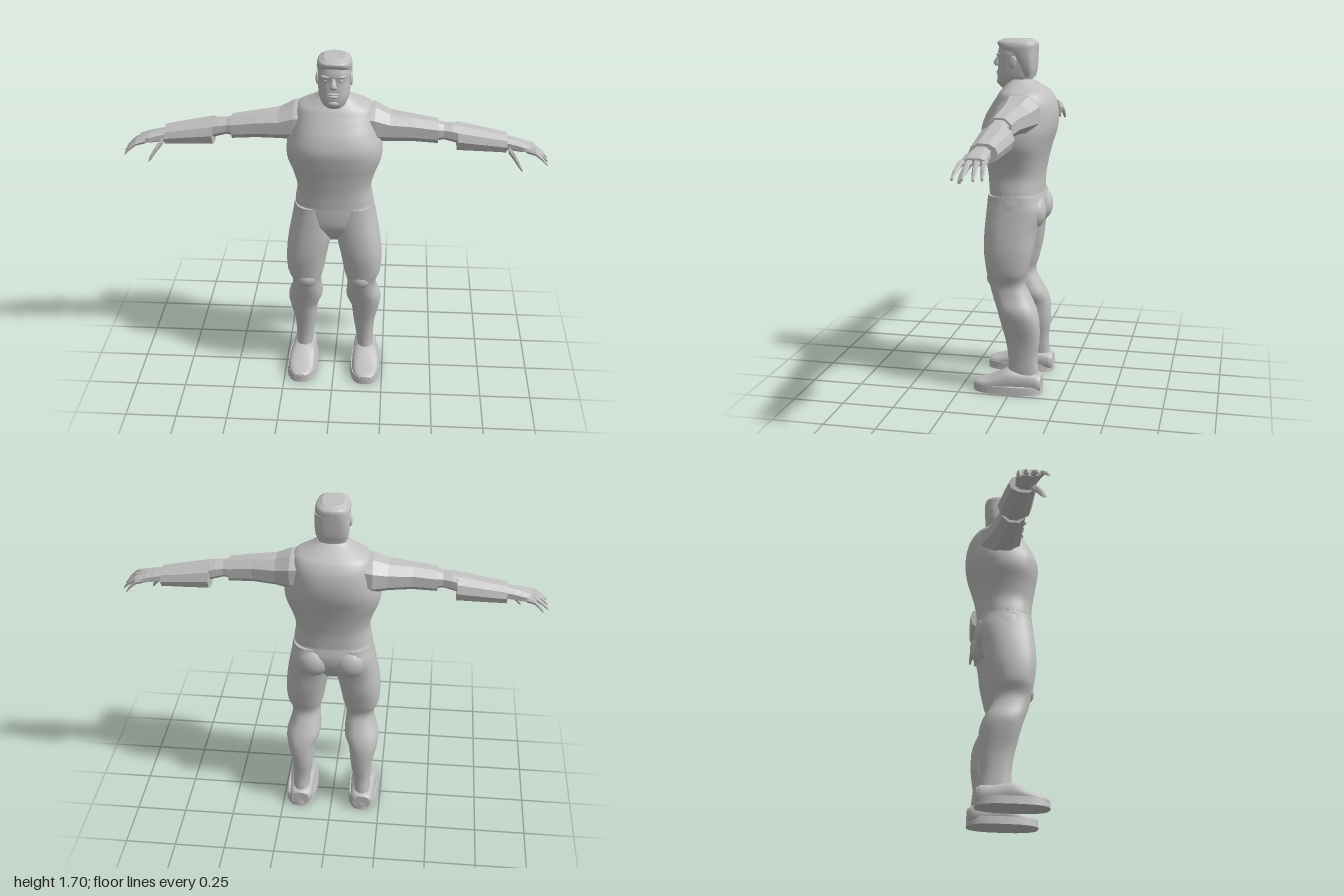
import * as THREE from 'three';

const grey = new THREE.MeshStandardMaterial({ color: 0xc0c0c0 });
grey.name = 'plain grey';

// Catmull-Rom refinement of a list of cross-sections
function refine(rows, k) {
  const out = [];
  for (let i = 0; i < rows.length - 1; i++) {
    const p = rows[Math.max(i - 1, 0)], q = rows[i], r = rows[i + 1], s = rows[Math.min(i + 2, rows.length - 1)];
    for (let j = 0; j < k; j++) {
      const t = j / k;
      out.push(q.map((v, c) => {
        if (c === 0) return v + (r[c] - v) * t;
        const square = 2 * p[c] - 5 * v + 4 * r[c] - s[c];
        const cube = 3 * v - p[c] - 3 * r[c] + s[c];
        return 0.5 * (2 * v + (r[c] - p[c]) * t + square * t * t + cube * t * t * t);
      }));
    }
  }
  out.push(rows[rows.length - 1]);
  return out;
}

// Skin over rows [t, aMin, aMax, bMin, bMax]; t runs along the axis, the rest bound
// a superellipse: (x, z) for axis y, (y, z) for axis x, (x, y) for axis z.
function loft(rows, { axis = 'y', n = 24, p = 2.4, steps = 4, flat = false, side = 1, turn = 0 } = {}) {
  const rings = steps > 1 ? refine(rows, steps) : rows;
  const pos = [], idx = [];
  const put = (t, a, b) => {
    const v = axis === 'y' ? [a, t, b] : axis === 'x' ? [t, a, b] : [a, b, t];
    pos.push(v[0] * side, v[1], v[2]);
  };
  const ring = ([t, a0, a1, b0, b1]) => {
    for (let i = 0; i < n; i++) {
      const w = (i + turn) / n * Math.PI * 2, c = Math.cos(w), s = Math.sin(w);
      put(t, (a0 + a1) / 2 + (a1 - a0) / 2 * Math.sign(c) * Math.abs(c) ** (2 / p),
        (b0 + b1) / 2 + (b1 - b0) / 2 * Math.sign(s) * Math.abs(s) ** (2 / p));
    }
  };
  rings.forEach(ring);
  for (let r = 0; r < rings.length - 1; r++) for (let i = 0; i < n; i++) {
    const a = r * n + i, b = r * n + (i + 1) % n;
    idx.push(a, b, b + n, a, b + n, a + n);
  }
  // end caps with their own crisp rims
  [rings[0], rings[rings.length - 1]].forEach((row, e) => {
    const base = pos.length / 3;
    ring(row);
    put(row[0], (row[1] + row[2]) / 2, (row[3] + row[4]) / 2);
    for (let i = 0; i < n; i++) {
      const a = base + i, b = base + (i + 1) % n;
      idx.push(base + n, ...(e ? [a, b] : [b, a]));
    }
  });
  let g = new THREE.BufferGeometry();
  g.setAttribute('position', new THREE.Float32BufferAttribute(pos, 3));
  // turn the skin outward if its signed volume is negative
  const A = new THREE.Vector3(), B = new THREE.Vector3(), C = new THREE.Vector3(), P = g.attributes.position;
  let vol = 0;
  for (let i = 0; i < idx.length; i += 3) {
    A.fromBufferAttribute(P, idx[i]);
    B.fromBufferAttribute(P, idx[i + 1]);
    C.fromBufferAttribute(P, idx[i + 2]);
    vol += A.dot(B.cross(C));
  }
  g.setIndex(vol < 0 ? idx.reverse() : idx);
  if (flat) g = g.toNonIndexed();
  g.computeVertexNormals();
  return g;
}

export function createModel() {
  const model = new THREE.Group();
  model.name = 'figure';
  const add = (name, geometry, parent = model) => {
    const m = new THREE.Mesh(geometry, grey);
    m.name = name;
    parent.add(m);
    return m;
  };
  const ball = (name, parent, x, y, z, sx, sy, sz) => {
    const m = add(name, new THREE.SphereGeometry(1, 16, 12), parent);
    m.position.set(x, y, z);
    m.scale.set(sx, sy, sz);
    return m;
  };

  // Torso and hips
  add('torso', loft([
    [0.98, -0.188, 0.188, -0.13, 0.133], [1.06, -0.178, 0.178, -0.133, 0.138],
    [1.14, -0.198, 0.198, -0.147, 0.15], [1.21, -0.224, 0.224, -0.165, 0.163],
    [1.28, -0.225, 0.225, -0.186, 0.17], [1.35, -0.205, 0.205, -0.192, 0.148],
    [1.41, -0.19, 0.19, -0.182, 0.112], [1.455, -0.172, 0.172, -0.155, 0.083],
    [1.485, -0.115, 0.115, -0.115, 0.06], [1.515, -0.072, 0.072, -0.07, 0.04]], { n: 32 }));
  add('hips', loft([
    [0.775, -0.06, 0.06, -0.06, 0.06], [0.82, -0.14, 0.14, -0.1, 0.1], [0.87, -0.198, 0.198, -0.13, 0.127],
    [0.93, -0.198, 0.198, -0.138, 0.132], [0.985, -0.186, 0.186, -0.128, 0.131]], { n: 32 }));

  // Head
  const head = new THREE.Group();
  head.name = 'head';
  model.add(head);
  add('neck', loft([[1.44, -0.08, 0.08, -0.09, 0.045], [1.5, -0.066, 0.066, -0.07, 0.04],
    [1.56, -0.064, 0.064, -0.075, 0.04]]), head);
  add('face', loft([
    [1.472, -0.035, 0.035, 0.0, 0.078], [1.486, -0.054, 0.054, -0.04, 0.092], [1.52, -0.069, 0.069, -0.072, 0.099],
    [1.56, -0.074, 0.074, -0.083, 0.097], [1.605, -0.075, 0.075, -0.088, 0.093],
    [1.635, -0.075, 0.075, -0.09, 0.097], [1.68, -0.068, 0.068, -0.085, 0.086]], { p: 2.6, n: 28 }), head);
  add('hairTop', loft([
    [1.648, -0.079, 0.079, -0.093, 0.075], [1.67, -0.08, 0.08, -0.096, 0.092],
    [1.69, -0.072, 0.072, -0.092, 0.097], [1.703, -0.05, 0.05, -0.068, 0.07]], { p: 2.8, n: 28 }), head);
  add('hairBack', loft([
    [1.525, -0.062, 0.062, -0.08, -0.03], [1.56, -0.074, 0.074, -0.088, -0.012],
    [1.61, -0.08, 0.08, -0.092, 0.01], [1.66, -0.08, 0.08, -0.095, 0.05]], { p: 3, n: 28 }), head);
  add('nose', loft([[1.575, -0.017, 0.017, 0.08, 0.11], [1.588, -0.016, 0.016, 0.08, 0.121],
    [1.625, -0.008, 0.008, 0.08, 0.102]], { n: 12 }), head);
  ball('upperLip', head, 0, 1.549, 0.094, 0.027, 0.006, 0.013);
  ball('lowerLip', head, 0, 1.538, 0.094, 0.024, 0.007, 0.012);
  ball('chin', head, 0, 1.502, 0.085, 0.03, 0.018, 0.019);

  for (const side of [1, -1]) {
    const label = side > 0 ? 'left' : 'right';
    const group = (name) => {
      const g = new THREE.Group();
      g.name = label + name;
      model.add(g);
      return g;
    };
    // Eye, brow and ear
    ball(label + 'Eye', head, side * 0.031, 1.61, 0.083, 0.014, 0.008, 0.009);
    ball(label + 'Brow', head, side * 0.033, 1.63, 0.086, 0.024, 0.007, 0.013).rotation.z = side * 0.12;
    ball(label + 'Ear', head, side * 0.077, 1.597, 0.012, 0.009, 0.031, 0.019).rotation.x = -0.2;

    // Leg
    const leg = group('Leg');
    add('leg', loft([
      [0.09, 0.118, 0.2, -0.135, 0.015], [0.17, 0.11, 0.2, -0.127, 0.016], [0.26, 0.096, 0.207, -0.137, 0.03],
      [0.36, 0.085, 0.228, -0.135, 0.055], [0.42, 0.062, 0.233, -0.118, 0.073], [0.48, 0.064, 0.214, -0.088, 0.095],
      [0.54, 0.066, 0.207, -0.062, 0.112], [0.6, 0.05, 0.23, -0.077, 0.124], [0.7, 0.032, 0.234, -0.1, 0.138],
      [0.8, 0.01, 0.222, -0.115, 0.138], [0.9, 0.0, 0.203, -0.14, 0.131], [0.97, 0.01, 0.19, -0.125, 0.125]],
      { side, n: 24 }), leg);
    ball('kneecap', leg, side * 0.135, 0.565, 0.09, 0.05, 0.045, 0.036);
    ball('buttock', leg, side * 0.09, 0.89, -0.085, 0.085, 0.085, 0.071);

    // Shoe
    const shoe = group('Shoe');
    add('sole', loft([[0, 0.084, 0.242, -0.156, 0.19], [0.038, 0.088, 0.238, -0.153, 0.188]],
      { side, n: 20, p: 2.7, steps: 1 }), shoe);
    add('upper', loft([
      [-0.15, 0.115, 0.205, 0.01, 0.085], [-0.13, 0.1, 0.216, 0.01, 0.097], [-0.06, 0.1, 0.218, 0.005, 0.103],
      [0.01, 0.096, 0.226, 0.005, 0.113], [0.06, 0.096, 0.232, 0.005, 0.088], [0.12, 0.1, 0.23, 0.005, 0.062],
      [0.165, 0.115, 0.215, 0.005, 0.052], [0.184, 0.135, 0.195, 0.01, 0.042]],
      { axis: 'z', side, n: 16, p: 2.8, steps: 2 }), shoe);

    // Arm: faceted sleeve, elbow and glove cuff
    const arm = group('Arm');
    const limb = { axis: 'x', side, n: 8, flat: true, steps: 1, turn: 0.5, p: 2.2 };
    add('upperArm', loft([
      [0.13, 1.29, 1.46, -0.14, 0.06], [0.19, 1.275, 1.457, -0.145, 0.062], [0.26, 1.282, 1.425, -0.115, 0.056],
      [0.37, 1.285, 1.41, -0.088, 0.046], [0.485, 1.278, 1.392, -0.076, 0.041]], limb), arm);
    add('elbow', loft([
      [0.47, 1.288, 1.387, -0.068, 0.034], [0.51, 1.297, 1.375, -0.062, 0.026],
      [0.55, 1.287, 1.374, -0.068, 0.03], [0.61, 1.27, 1.365, -0.075, 0.035]], limb), arm);
    add('gloveCuff', loft([
      [0.575, 1.243, 1.372, -0.107, 0.052], [0.69, 1.24, 1.35, -0.098, 0.046],
      [0.805, 1.237, 1.327, -0.086, 0.04]], { ...limb, n: 10 }), arm);

    // Hand with four drooping fingers and a thumb
    const hand = group('Hand');
    add('palm', loft([
      [0.79, 1.252, 1.318, -0.06, 0.026], [0.84, 1.25, 1.308, -0.063, 0.034], [0.88, 1.246, 1.298, -0.066, 0.042],
      [0.915, 1.25, 1.284, -0.066, 0.038]], limb), hand);
    const fingers = [[0.03, 0.058, 0.995], [0.002, 0.016, 1.0], [-0.026, -0.03, 1.0], [-0.053, -0.062, 0.978]];
    fingers.forEach(([z0, z1, tip], i) => {
      const rows = [[0, 1.268, 0.014], [0.45, 1.258, 0.012], [0.75, 1.235, 0.01], [1, 1.208, 0.006]].map(([t, y, r]) => {
        const z = z0 + (z1 - z0) * t;
        return [0.895 + (tip - 0.895) * t, y - r, y + r, z - r, z + r];
      });
      add('finger' + (i + 1), loft(rows, { ...limb, n: 6 }), hand);
    });
    add('thumb', loft([
      [0.815, 1.245, 1.285, 0.0, 0.036], [0.845, 1.212, 1.25, 0.025, 0.053],
      [0.866, 1.184, 1.216, 0.04, 0.063], [0.882, 1.168, 1.184, 0.05, 0.066]], { ...limb, n: 6 }), hand);
  }
  return model;
}
